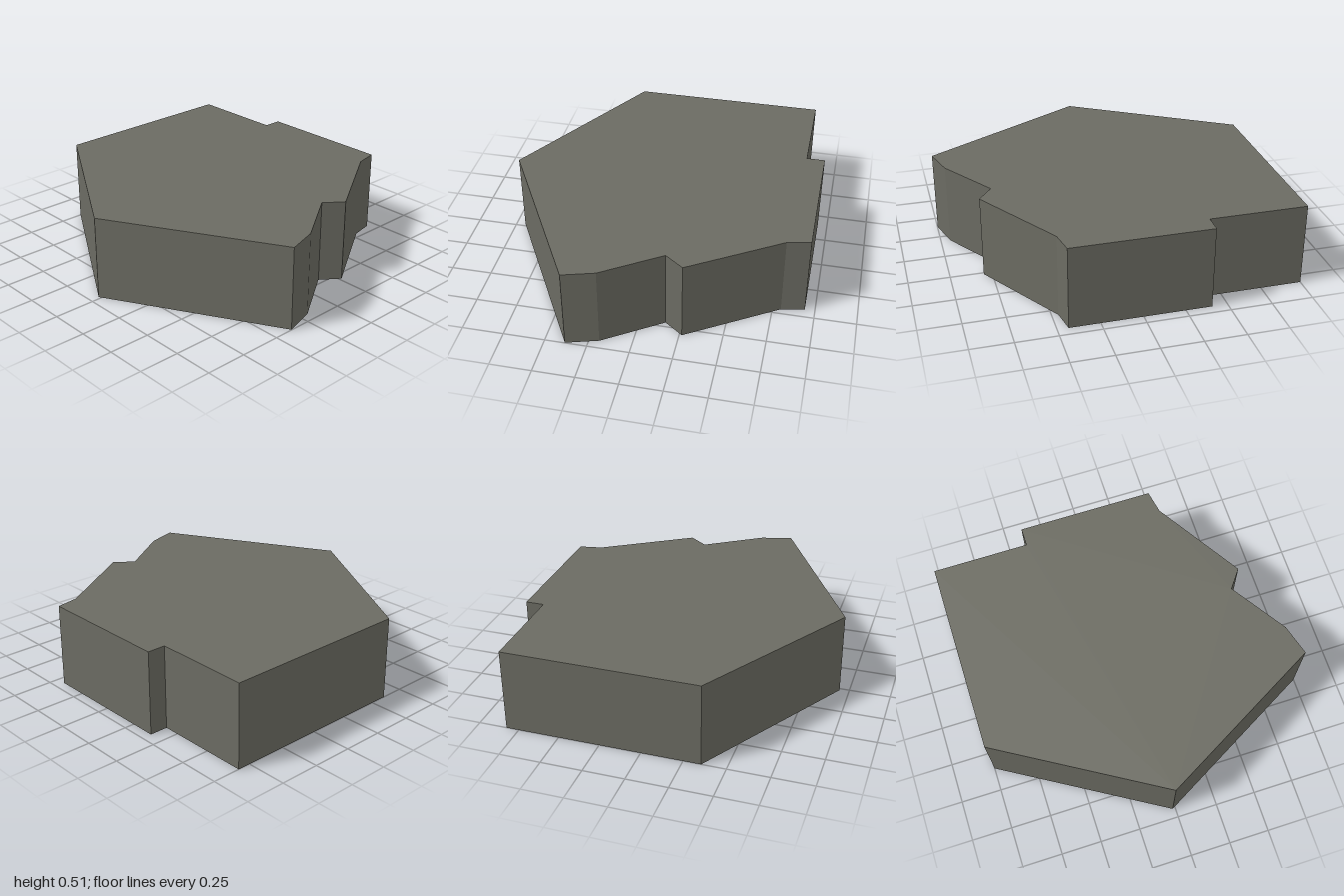
import * as THREE from 'three';

export function createModel() {
  const group = new THREE.Group();
  group.name = 'building';
  const material = new THREE.MeshStandardMaterial({ color: 0x6b6b62, side: THREE.DoubleSide, flatShading: true });
  material.name = 'greyStone';

  const height = 0.51;
  // Footprint corners as (x, z), clockwise seen from above
  const outline = [
    [-0.355, -1], [0.828, -1], [0.828, -0.407], [0.94, -0.407], [0.94, 0.435], [0.8, 0.462],
    [0.265, 0.8], [0.152, 0.715], [-0.19, 0.942], [-0.38, 0.998], [-0.942, -0.017],
  ];

  // Flat roof
  const shape = new THREE.Shape(outline.map(([x, z]) => new THREE.Vector2(x, -z)));
  const roofGeometry = new THREE.ShapeGeometry(shape).rotateX(-Math.PI / 2).translate(0, height, 0);
  const roof = new THREE.Mesh(roofGeometry, material);
  roof.name = 'roof';

  // Outer walls, one quad per footprint edge; the underside stays open
  const positions = [];
  outline.forEach(([ax, az], i) => {
    const [bx, bz] = outline[(i + 1) % outline.length];
    positions.push(bx, 0, bz, ax, 0, az, ax, height, az);
    positions.push(bx, 0, bz, ax, height, az, bx, height, bz);
  });
  const wallGeometry = new THREE.BufferGeometry();
  wallGeometry.setAttribute('position', new THREE.Float32BufferAttribute(positions, 3));
  wallGeometry.computeVertexNormals();
  const walls = new THREE.Mesh(wallGeometry, material);
  walls.name = 'walls';

  group.add(roof, walls);
  return group;
}
